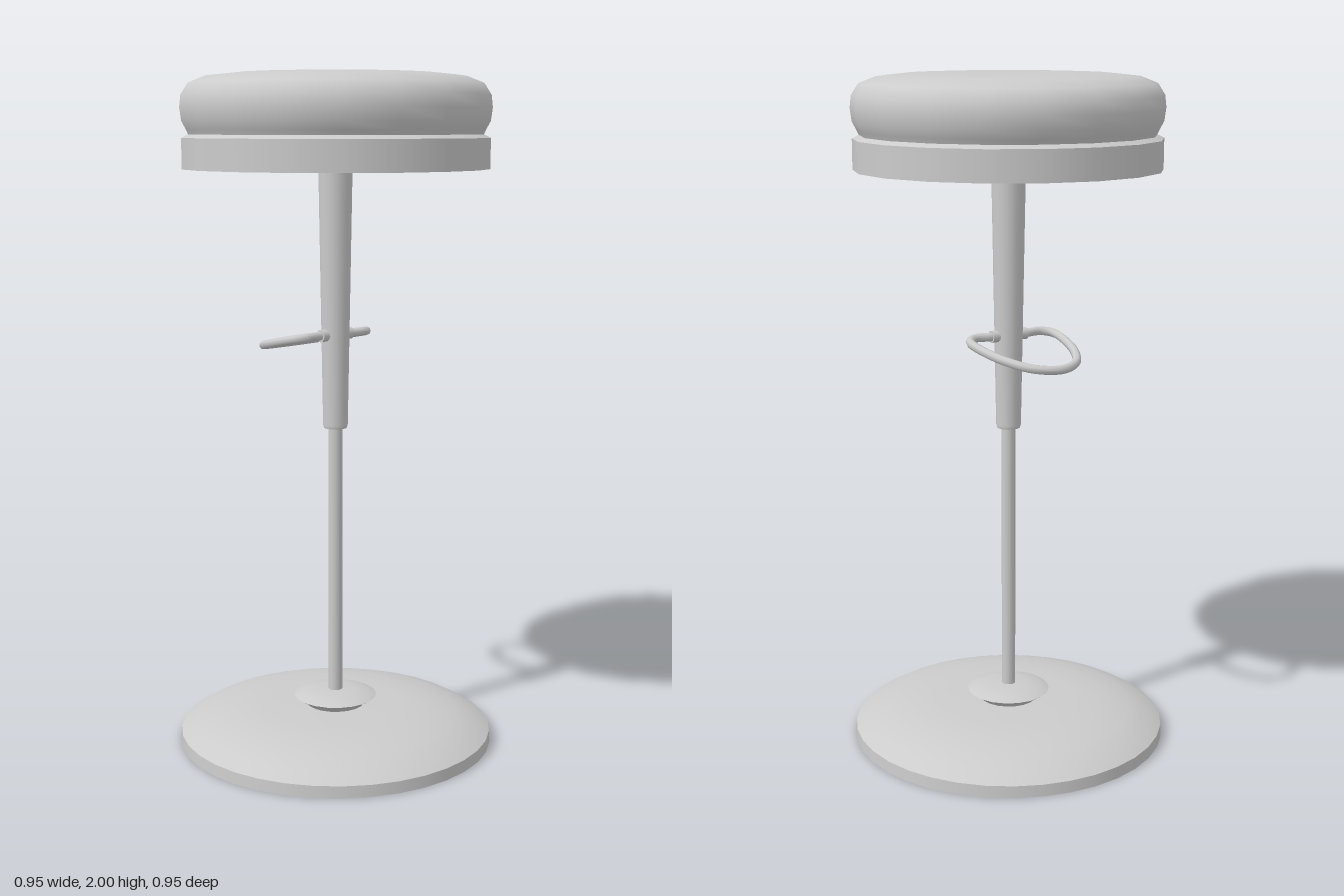
import * as THREE from 'three';

const material = new THREE.MeshStandardMaterial({ color: 0xcccccc });

export function createModel() {
  const model = new THREE.Group();

  // A turned part: each profile (bottom to top) is smooth, with a sharp edge between profiles
  function turned(name, sides, ...profiles) {
    const part = new THREE.Group();
    part.name = name;
    for (const profile of profiles) {
      const points = profile.map(([r, y]) => new THREE.Vector2(r, y));
      const mesh = new THREE.Mesh(new THREE.LatheGeometry(points, sides), material);
      mesh.name = name + 'Surface';
      part.add(mesh);
    }
    model.add(part);
  }

  // Domed floor plate
  turned('base', 36,
    [[0, 0], [0.474, 0]],
    [[0.474, 0], [0.472, 0.035]],
    [[0.472, 0.035], [0.43, 0.06], [0.37, 0.082], [0.29, 0.097], [0.2, 0.104], [0, 0.106]]);

  // Flared collar around the foot of the pole
  turned('baseCollar', 20,
    [[0.085, 0.1], [0.09, 0.11], [0.125, 0.132]],
    [[0.125, 0.132], [0.1, 0.142], [0.06, 0.149], [0, 0.15]]);

  // Thin pole and tapered sleeve
  turned('pole', 16, [[0.021, 0.1], [0.021, 1.0]]);
  turned('sleeve', 20,
    [[0, 0.965], [0.034, 0.965]],
    [[0.034, 0.965], [0.037, 0.975], [0.05, 1.735]]);

  // Seat pan
  turned('seatPan', 18,
    [[0, 1.727], [0.446, 1.727]],
    [[0.446, 1.727], [0.446, 1.815]],
    [[0.446, 1.815], [0.42, 1.828]]);

  // Padded cushion
  turned('cushion', 18,
    [[0.425, 1.822], [0.432, 1.838], [0.445, 1.862], [0.45, 1.9], [0.446, 1.935],
      [0.425, 1.968], [0.375, 1.988], [0.29, 1.997], [0.2, 2], [0, 2]]);

  // Rounded D-shaped footrest, sloping down towards the back
  const half = [[0.06, 0], [0.115, 0.003], [0.143, -0.02], [0.144, -0.08],
    [0.118, -0.175], [0.07, -0.245]];
  const outline = [[0, 0], ...half, [0, -0.272],
    ...half.map(([x, z]) => [-x, z]).reverse()];
  const path = new THREE.CatmullRomCurve3(
    outline.map(([x, z]) => new THREE.Vector3(x, 1.244 + z * 0.205, z)), true);
  const footrest = new THREE.Mesh(new THREE.TubeGeometry(path, 64, 0.013, 8, true), material);
  footrest.name = 'footrest';
  model.add(footrest);

  // Small sockets where the footrest meets the sleeve
  for (const side of [-1, 1]) {
    const socket = new THREE.Mesh(new THREE.CylinderGeometry(0.018, 0.018, 0.03, 12), material);
    socket.name = side > 0 ? 'leftSocket' : 'rightSocket';
    socket.rotation.z = Math.PI / 2;
    socket.position.set(side * 0.045, 1.244, 0);
    model.add(socket);
  }

  return model;
}
